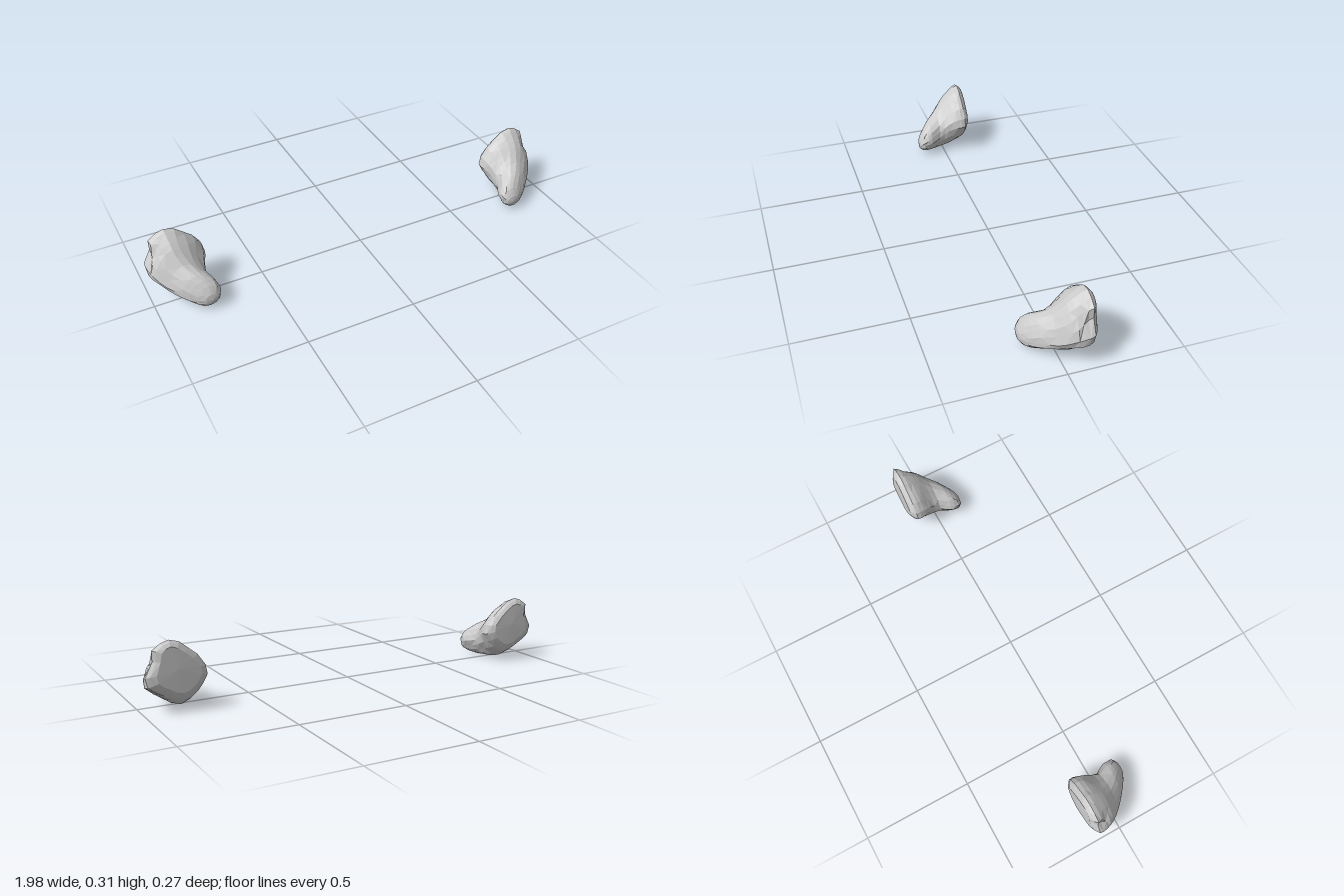
import * as THREE from 'three';

// Cross-sections from nose to back: z, then eight x,y points running
// bottom, low outer, outer, upper outer, top, upper inner, inner, low inner.
const sections = [
  [0.13, 0.78, 0.03, 0.795, 0.035, 0.805, 0.052, 0.8, 0.072, 0.78, 0.082, 0.76, 0.076, 0.748, 0.058, 0.76, 0.038],
  [0.11, 0.79, 0.012, 0.825, 0.025, 0.84, 0.05, 0.83, 0.09, 0.785, 0.118, 0.745, 0.105, 0.73, 0.072, 0.745, 0.032],
  [0.07, 0.8, 0.002, 0.855, 0.03, 0.89, 0.07, 0.87, 0.125, 0.82, 0.157, 0.765, 0.14, 0.73, 0.085, 0.75, 0.033],
  [0.02, 0.81, 0.005, 0.88, 0.04, 0.935, 0.085, 0.91, 0.155, 0.855, 0.192, 0.79, 0.165, 0.755, 0.1, 0.77, 0.04],
  [-0.03, 0.82, 0.01, 0.91, 0.05, 0.97, 0.11, 0.945, 0.2, 0.88, 0.25, 0.8, 0.215, 0.745, 0.14, 0.77, 0.055],
  [-0.07, 0.83, 0.02, 0.925, 0.068, 0.99, 0.125, 0.955, 0.235, 0.885, 0.285, 0.795, 0.25, 0.73, 0.16, 0.765, 0.07],
  [-0.11, 0.83, 0.045, 0.92, 0.08, 0.99, 0.135, 0.965, 0.265, 0.885, 0.31, 0.8, 0.265, 0.725, 0.165, 0.765, 0.085],
  [-0.133, 0.84, 0.085, 0.9, 0.11, 0.95, 0.15, 0.93, 0.255, 0.885, 0.285, 0.82, 0.25, 0.755, 0.17, 0.79, 0.11],
];
const AROUND = 18, ALONG = 14;

// Smooth closed ring through the eight points of a section
function ringOf([z, ...xy]) {
  const pts = [];
  for (let i = 0; i < xy.length; i += 2) pts.push(new THREE.Vector3(xy[i], xy[i + 1], z));
  const curve = new THREE.CatmullRomCurve3(pts, true);
  return Array.from({ length: AROUND }, (_, j) => curve.getPoint(j / AROUND));
}

function lumpGeometry(side) {
  const rings = sections.map(ringOf);
  // Smooth lengthwise strands joining the rings
  const strands = Array.from({ length: AROUND }, (_, j) =>
    new THREE.CatmullRomCurve3(rings.map((r) => r[j])));
  const pos = [], index = [];
  const add = (p) => pos.push(side * p.x, p.y, p.z);
  const face = (a, b, c) => (side > 0 ? index.push(a, b, c) : index.push(a, c, b));

  for (let i = 0; i <= ALONG; i++) {
    for (let j = 0; j < AROUND; j++) {
      const p = strands[j].getPoint(i / ALONG);
      // Hollow in the upper outer flank
      if (p.x > 0.9) p.x -= 0.03 * Math.exp(-(((p.y - 0.21) / 0.035) ** 2) - ((p.z + 0.1) / 0.04) ** 2);
      // Slight unevenness between facets
      if (i > 0 && i < ALONG) p.x += 0.0025 * Math.sin(i * 5.3 + j * 2.9);
      add(p);
      if (i < ALONG) {
        const a = i * AROUND + j, b = i * AROUND + (j + 1) % AROUND;
        const c = a + AROUND, d = b + AROUND;
        if ((i + j) % 2) { face(a, c, b); face(b, c, d); }
        else { face(a, c, d); face(a, d, b); }
      }
    }
  }
  // Close the nose and the back
  const nose = pos.length / 3;
  add(new THREE.Vector3(0.775, 0.055, 0.135));
  add(new THREE.Vector3(0.86, 0.19, -0.136));
  const last = ALONG * AROUND;
  for (let j = 0; j < AROUND; j++) {
    const k = (j + 1) % AROUND;
    face(nose, j, k);
    face(nose + 1, last + k, last + j);
  }
  const geo = new THREE.BufferGeometry();
  geo.setAttribute('position', new THREE.Float32BufferAttribute(pos, 3));
  geo.setIndex(index);
  geo.computeVertexNormals();
  return geo;
}

export function createModel() {
  const group = new THREE.Group();
  group.name = 'pairOfLumps';
  const material = new THREE.MeshStandardMaterial({ color: 0xcccccc, flatShading: true });
  for (const [name, side] of [['leftLump', 1], ['rightLump', -1]]) {
    const mesh = new THREE.Mesh(lumpGeometry(side), material);
    mesh.name = name;
    group.add(mesh);
  }
  return group;
}
